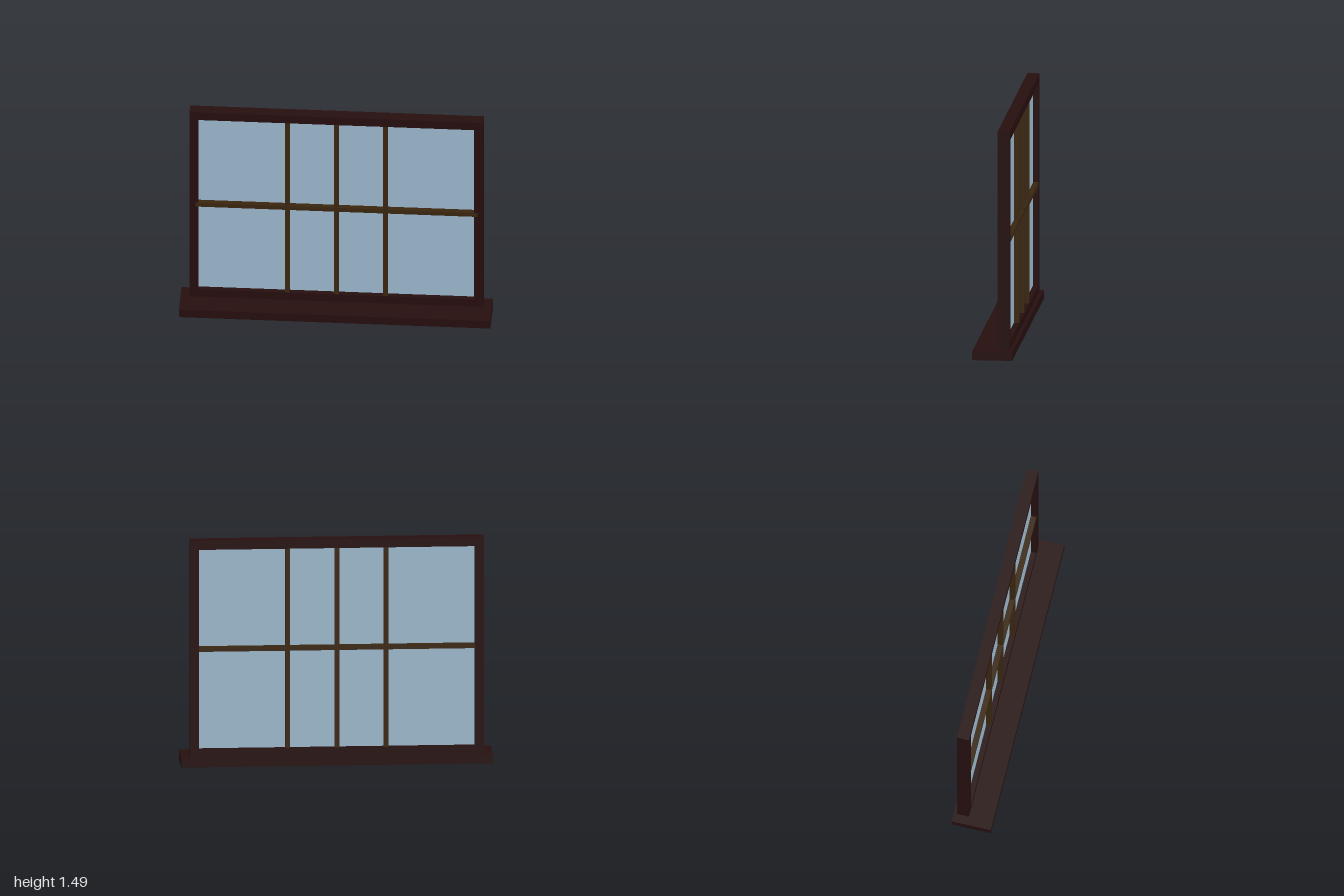
import * as THREE from 'three';

const material = (name, color) => {
  const m = new THREE.MeshStandardMaterial({ color });
  m.name = name;
  return m;
};

export function createModel() {
  const model = new THREE.Group();
  model.name = 'window';
  const darkWood = material('dark wood', 0x260e0e);
  const brownWood = material('brown wood', 0x3a2610);
  const glass = material('pale blue glass', 0x9cb8cd);

  // Box from its low and high limits on each axis
  const box = (name, mat, [x0, x1], [y0, y1], [z0, z1]) => {
    const mesh = new THREE.Mesh(new THREE.BoxGeometry(x1 - x0, y1 - y0, z1 - z0), mat);
    mesh.name = name;
    mesh.position.set((x0 + x1) / 2, (y0 + y1) / 2, (z0 + z1) / 2);
    model.add(mesh);
  };

  const sillTop = 0.057, top = 1.485, half = 0.943, rail = 0.058;
  const inner = half - rail, low = 0.112, high = top - rail;
  const depth = [-0.107, -0.029];
  const mid = -0.068;

  // Sill
  box('sill', darkWood, [-1, 1], [0, sillTop], [-0.129, 0.129]);

  // Outer frame
  box('topRail', darkWood, [-inner, inner], [high, top], depth);
  box('bottomRail', darkWood, [-inner, inner], [sillTop, low], depth);
  box('rightJamb', darkWood, [-half, -inner], [sillTop, top], depth);
  box('leftJamb', darkWood, [inner, half], [sillTop, top], depth);

  // Glass pane in the middle of the frame depth
  box('glassPane', glass, [-inner, inner], [low, high], [mid - 0.004, mid + 0.004]);

  // Glazing bars standing out on both sides of the glass
  for (const x of [-0.315, 0, 0.315]) {
    box('verticalBar', brownWood, [x - 0.015, x + 0.015], [low, high], [mid - 0.036, mid + 0.036]);
  }
  box('horizontalBar', brownWood, [-0.905, 0.905], [0.755, 0.785], [mid - 0.038, mid + 0.0395]);

  return model;
}
